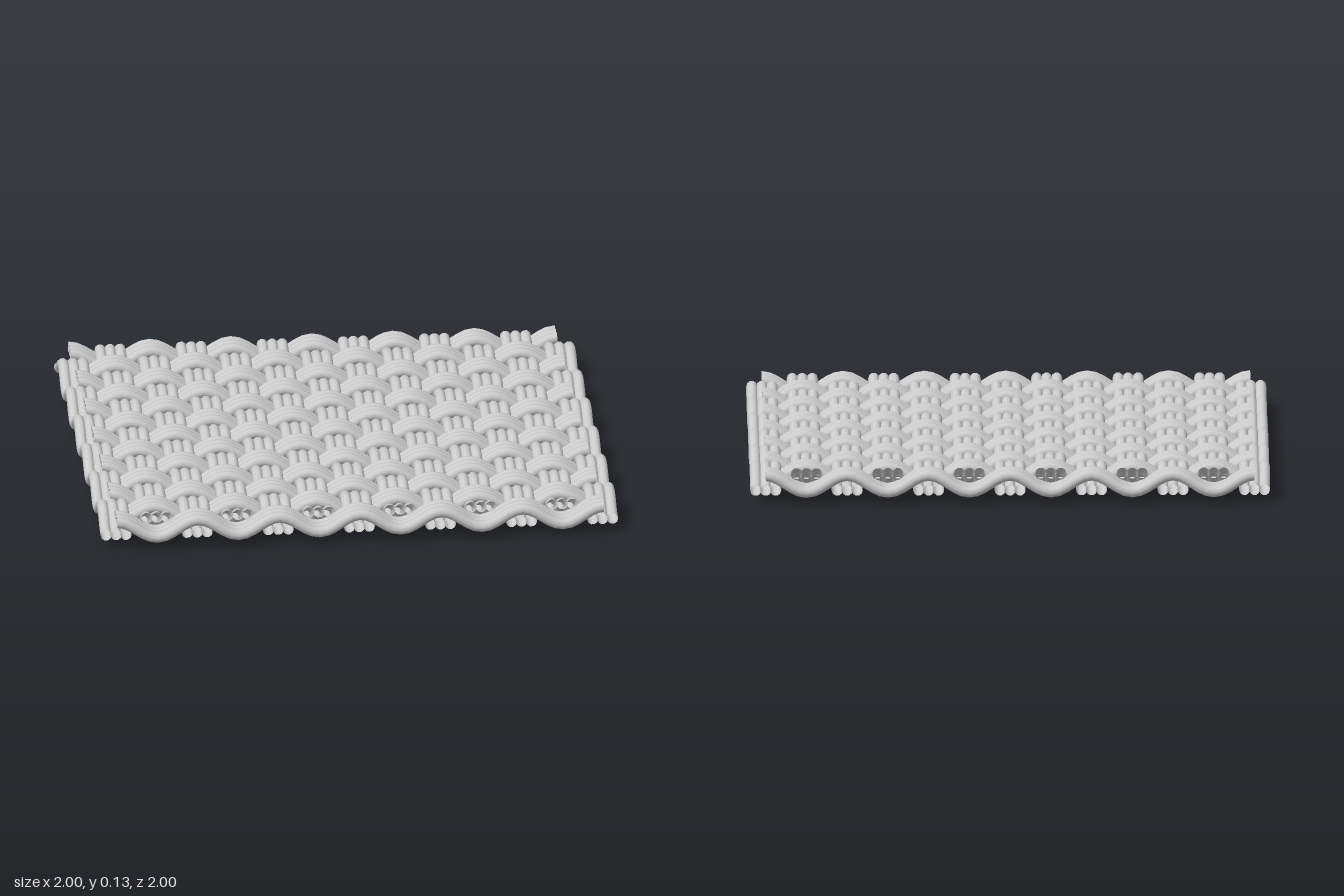
import * as THREE from 'three';

const PITCH = 0.1567;   // distance between neighbouring bands
const COUNT = 6;        // bands on each side of the middle one
const RADIUS = 0.0215;  // strand thickness
const GAP = 0.0385;     // distance between strands in a band
const MID = 0.0815;     // height of the weave's middle plane
const WAVE = 0.033;     // rise and fall of a strand

// Centre line of a strand that runs along x and waves up and down
class WaveCurve extends THREE.Curve {
  constructor(sign) {
    super();
    this.sign = sign;
  }
  getPoint(t, target = new THREE.Vector3()) {
    const x = (2 * t - 1) * COUNT * PITCH;
    return target.set(x, MID + this.sign * WAVE * Math.cos(Math.PI * x / PITCH), 0);
  }
}

export function createModel() {
  const mat = new THREE.Group();
  mat.name = 'wovenMat';
  const grey = new THREE.MeshStandardMaterial({ color: 0xcccccc, side: THREE.DoubleSide });
  grey.name = 'light grey';

  // Two open tubes: one crests in the middle, one dips there
  const crest = new THREE.TubeGeometry(new WaveCurve(1), 72, RADIUS, 10, false);
  const dip = new THREE.TubeGeometry(new WaveCurve(-1), 72, RADIUS, 10, false);

  // A band is three strands side by side
  function band(name, geometry, offset) {
    const group = new THREE.Group();
    group.name = name;
    for (let s = -1; s <= 1; s++) {
      const strand = new THREE.Mesh(geometry, grey);
      strand.name = 'strand';
      strand.position.z = offset + s * GAP;
      group.add(strand);
    }
    return group;
  }

  // Crossing bands, alternately over and under
  for (let k = -COUNT; k <= COUNT; k++) {
    const even = k % 2 === 0;
    mat.add(band('crosswiseBand', even ? crest : dip, k * PITCH));
    const lengthwise = band('lengthwiseBand', even ? dip : crest, k * PITCH);
    lengthwise.rotation.y = Math.PI / 2;
    mat.add(lengthwise);
  }

  // Flat sheet below the weave
  const sheet = new THREE.Mesh(new THREE.PlaneGeometry(1.24, 1.24), grey);
  sheet.name = 'baseSheet';
  sheet.rotation.x = -Math.PI / 2;
  mat.add(sheet);

  return mat;
}
